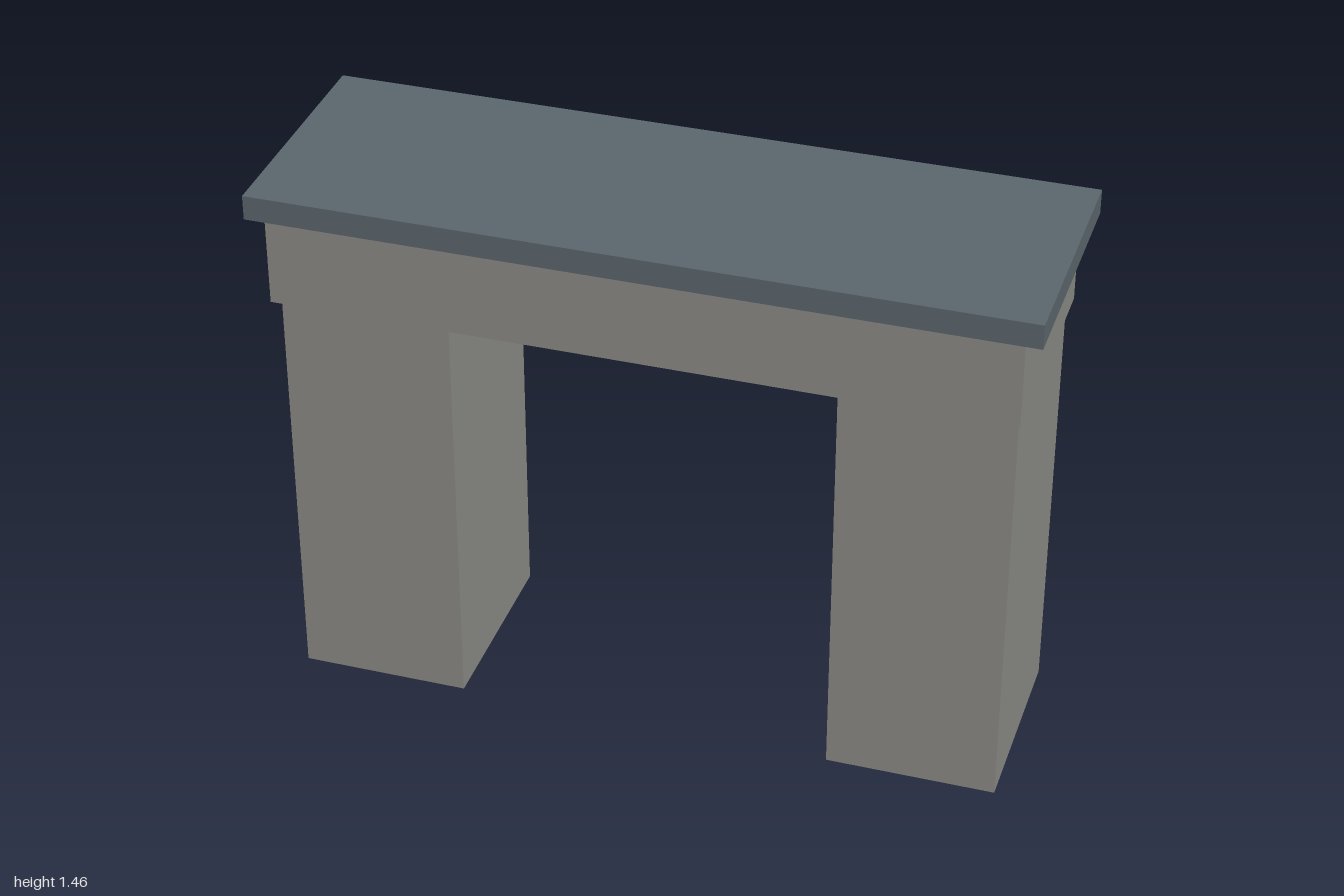
import * as THREE from 'three';

export function createModel() {
  const group = new THREE.Group();
  const material = (name, color) => {
    const m = new THREE.MeshStandardMaterial({ color });
    m.name = name;
    return m;
  };
  const stone = material('stone grey', 0x8a8984);
  const slate = material('slate blue', 0x5b666d);
  const wood = material('dark brown', 0x5d4d41);

  // Box placed by its centre in x and z and by its bottom and top in y
  const block = (name, mat, width, depth, bottom, top, x = 0, z = 0) => {
    const mesh = new THREE.Mesh(new THREE.BoxGeometry(width, top - bottom, depth), mat);
    mesh.name = name;
    mesh.position.set(x, (bottom + top) / 2, z);
    group.add(mesh);
  };

  // Pillars, each with a slim upright bar set just off its back face
  for (const [side, s] of [['left', 1], ['right', -1]]) {
    block(side + 'Pillar', stone, 0.445, 0.53, 0, 1.147, s * 0.721);
    block(side + 'BackBar', wood, 0.04, 0.037, 0.1, 0.97, s * 0.735, -0.291);
  }

  // Lintel across the pillars and the capping slab
  block('lintel', stone, 1.91, 0.614, 1.147, 1.389);
  block('capSlab', slate, 2, 0.658, 1.389, 1.455);

  return group;
}
